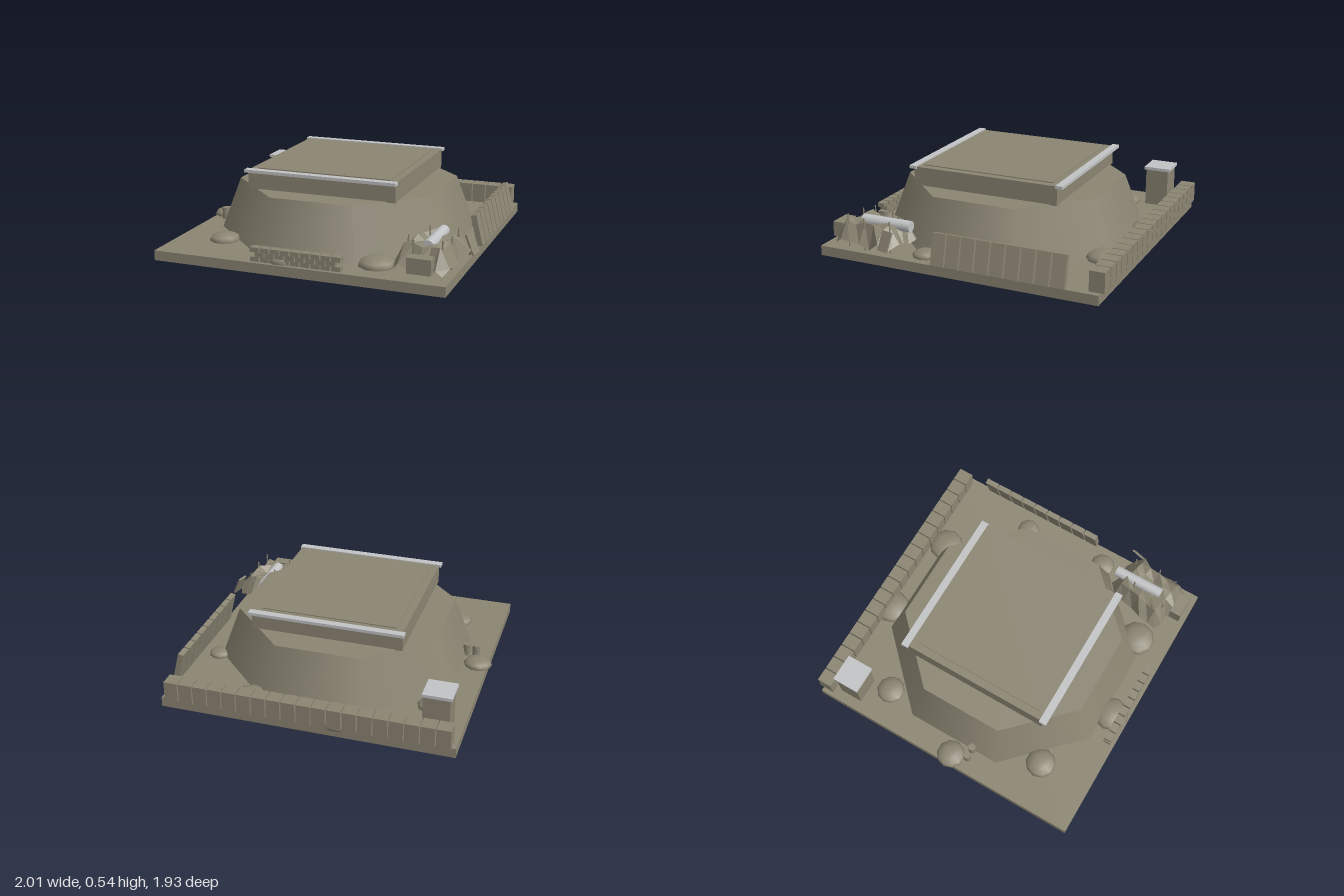
import * as THREE from 'three';

const earth = new THREE.MeshStandardMaterial({ color: 0x8b8572, side: THREE.DoubleSide });
earth.name = 'dusty earth';
const steel = new THREE.MeshStandardMaterial({ color: 0xc2c3c4 });
steel.name = 'pale steel';

export function createModel() {
  const model = new THREE.Group();

  const add = (name, geo, x, y, z, mat = earth, parent = model) => {
    const mesh = new THREE.Mesh(geo, mat);
    mesh.name = name;
    mesh.position.set(x, y, z);
    parent.add(mesh);
    return mesh;
  };
  // Box given by its limits on each axis
  const box = (name, x0, x1, y0, y1, z0, z1, mat = earth, parent = model) =>
    add(name, new THREE.BoxGeometry(x1 - x0, y1 - y0, z1 - z0),
      (x0 + x1) / 2, (y0 + y1) / 2, (z0 + z1) / 2, mat, parent);
  const group = (name) => {
    const g = new THREE.Group();
    g.name = name;
    model.add(g);
    return g;
  };

  const G = 0.065; // top of the ground plate
  box('groundPlate', -0.97, 0.94, 0, G, -0.943, 0.963);

  // Eight-sided mound with soft sides
  const mound = new THREE.CylinderGeometry(0.727, 0.855, 0.405 - G, 8);
  mound.rotateY(Math.PI / 8);
  add('mound', mound, -0.013, (0.405 + G) / 2, 0.01);

  // Square upper block with a thin roof panel and two steel rails
  box('upperBlock', -0.515, 0.485, 0.4, 0.528, -0.487, 0.517);
  box('roofPanel', -0.465, 0.435, 0.528, 0.534, -0.44, 0.47);
  box('backRail', -0.53, 0.495, 0.515, 0.535, -0.528, -0.48, steel);
  box('frontRail', -0.53, 0.495, 0.515, 0.535, 0.5, 0.55, steel);

  // Row of blocks along the back edge
  const backWall = group('backWall');
  for (let i = 0; i < 19; i++) {
    const x = -0.942 + i * 0.0976;
    box('wallBlock', x, x + 0.09, G, 0.198, -0.967, -0.868, earth, backWall);
  }

  // Boards along the left edge, leaning inward
  const fence = group('leaningFence');
  for (let i = 0; i < 9; i++) {
    const board = add('fenceBoard', new THREE.BoxGeometry(0.036, 0.205, 0.09),
      0.913, 0.167, 0.112 - i * 0.1, earth, fence);
    board.rotation.z = 0.24;
  }

  // Low wall of staggered bricks at the front
  const brickWall = group('brickWall');
  for (let row = 0; row < 3; row++) {
    const odd = row % 2;
    for (let i = 0; i < 9 - odd; i++) {
      const x = -0.312 + i * 0.067 + odd * 0.033;
      box('brick', x, x + 0.058, G + row * 0.03, G + row * 0.03 + 0.03, 0.887, 0.938, earth, brickWall);
    }
  }

  // Corner post with a steel cap
  box('cornerPost', -0.9, -0.73, G, 0.318, -0.825, -0.668);
  box('cornerPostCap', -0.912, -0.725, 0.318, 0.338, -0.837, -0.655, steel);

  // Flattened boulders: x, z, radius
  const boulders = group('boulders');
  [[-0.73, -0.535, 0.095], [0.385, -0.775, 0.12], [-0.21, -0.855, 0.12], [0.79, -0.33, 0.075],
    [0.81, 0.265, 0.086], [-0.905, 0.05, 0.095], [-0.655, 0.6, 0.101], [0.445, 0.735, 0.123],
    [-0.12, 0.84, 0.118]].forEach(([x, z, r]) => {
    const stone = add('boulder', new THREE.SphereGeometry(1, 10, 6), x, 0.072, z, earth, boulders);
    stone.scale.set(r, r * 0.44, r);
  });

  // Two little drums
  for (const x of [-0.87, -0.808])
    add('drum', new THREE.CylinderGeometry(0.025, 0.025, 0.08, 10), x, G + 0.04, 0.16);

  // Crumpled canopy: a bent sheet stretched over four corners
  const tent = group('tent');
  const corners = [[0.66, 0.38], [0.96, 0.46], [0.55, 0.82], [0.91, 0.89]];
  const sheet = new THREE.PlaneGeometry(1, 1, 6, 6);
  const p = sheet.attributes.position;
  for (let i = 0; i < p.count; i++) {
    const u = p.getX(i) + 0.5, v = 0.5 - p.getY(i);
    const mix = (k) => (1 - v) * ((1 - u) * corners[0][k] + u * corners[1][k])
      + v * ((1 - u) * corners[2][k] + u * corners[3][k]);
    const edge = Math.max(Math.abs(2 * u - 1), Math.abs(2 * v - 1));
    const fold = Math.sin(u * 19 + v * 11) * 0.018 + Math.cos(v * 17 - u * 9) * 0.012;
    const y = edge > 0.9 ? 0.115 + fold * 1.4 : (edge > 0.5 ? 0.238 : 0.222) + fold * 0.75;
    const push = edge > 0.9 ? fold * 0.8 : 0;
    p.setXYZ(i, mix(0) + push * (2 * u - 1), y, mix(1) + push * (2 * v - 1));
  }
  const canopy = sheet.toNonIndexed();
  canopy.computeVertexNormals();
  add('canopy', canopy, 0, 0, 0, earth, tent);
  const flap = add('canopyFlap', new THREE.BoxGeometry(0.012, 0.13, 0.08), 0.965, 0.18, 0.465, earth, tent);
  flap.rotation.set(0, -0.25, 0.42);

  // Tent poles
  [[0.64, 0.73, 0.28], [0.69, 0.79, 0.27], [0.87, 0.79, 0.285], [0.72, 0.55, 0.295],
    [0.88, 0.48, 0.28], [0.89, 0.66, 0.28]].forEach(([x, z, top]) =>
    add('tentPole', new THREE.CylinderGeometry(0.005, 0.005, top - G, 6), x, (top + G) / 2, z, earth, tent));

  // Crate at the tent front and steel tube lying through the canopy
  box('crate', 0.69, 0.84, 0.105, 0.203, 0.85, 0.928, earth, tent);
  const tube = new THREE.CylinderGeometry(0.037, 0.037, 0.345, 16);
  tube.rotateX(Math.PI / 2);
  add('steelTube', tube, 0.763, 0.222, 0.565, steel, tent);

  return model;
}
